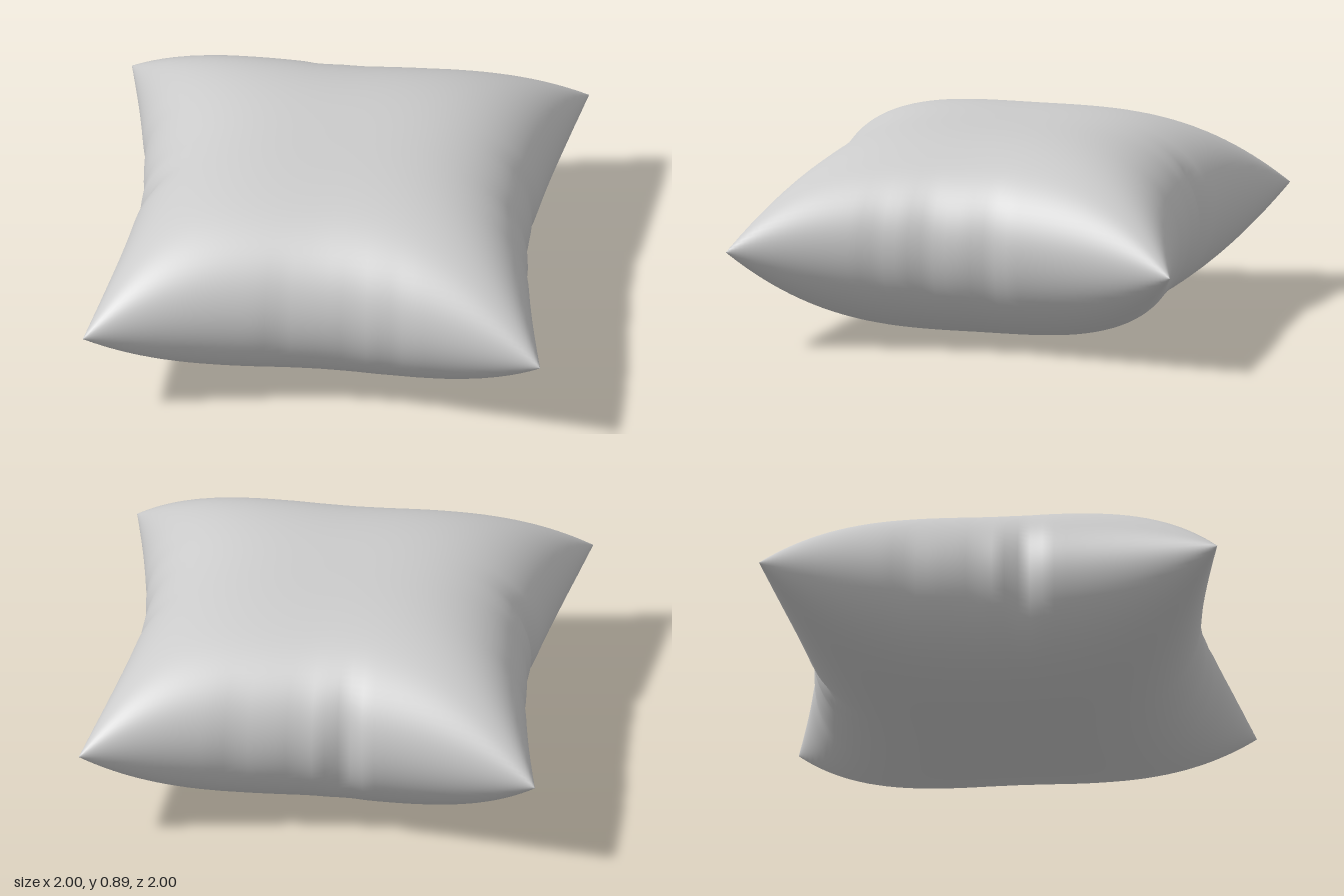
import * as THREE from 'three';
import { mergeGeometries, mergeVertices } from 'three/addons/utils/BufferGeometryUtils.js';

const HALF = 0.445;  // half thickness
const SEGMENTS = 56;

// Pleats along each side: [position, depth, width]
const PLEATS = {
  left: [[-0.14, 0.018, 0.05], [0.14, 0.015, 0.06], [0.36, 0.008, 0.05]],
  right: [[0.14, 0.045, 0.05], [-0.06, 0.008, 0.05], [-0.36, 0.008, 0.06]],
  front: [[-0.16, 0.008, 0.06], [0.16, 0.008, 0.06], [0.34, 0.008, 0.05]],
  back: [[-0.14, 0.045, 0.05], [0.06, 0.01, 0.05], [0.34, 0.008, 0.06]],
};

// How far a side is drawn in at position t along it
function pull(pleats, t) {
  let d = 0;
  for (const [at, depth, width] of pleats) d += depth * Math.exp(-(((t - at) / width) ** 2));
  return d;
}

// Concave side: deepest in the middle, none at the corners
const inset = (t) => 1 - 0.15 * (1 - Math.abs(t) ** 1.6);
const swell = (t) => Math.sqrt(Math.max(0, 1 - Math.abs(t) ** 3.2));

// One face of the cushion; sign is +1 for the top and -1 for the bottom
function cushionFace(sign) {
  const geo = new THREE.PlaneGeometry(2, 2, SEGMENTS, SEGMENTS).rotateX(-sign * Math.PI / 2);
  const p = geo.attributes.position;
  for (let i = 0; i < p.count; i++) {
    // Crowd the grid lines towards the seam, where the surface curves most
    const u = Math.sin(p.getX(i) * Math.PI / 2);
    const v = Math.sin(p.getZ(i) * Math.PI / 2);
    let x = u * inset(v);
    let z = v * inset(u);
    const sideX = pull(u > 0 ? PLEATS.left : PLEATS.right, z);
    const sideZ = pull(v > 0 ? PLEATS.front : PLEATS.back, x);
    x -= Math.sign(u) * sideX * Math.abs(u) ** 8;
    z -= Math.sign(v) * sideZ * Math.abs(v) ** 8;
    const edge = Math.abs(u) > 0.99999 || Math.abs(v) > 0.99999;
    p.setXYZ(i, x, HALF + (edge ? 0 : sign * HALF * swell(u) * swell(v)), z);
  }
  geo.deleteAttribute('uv');
  geo.deleteAttribute('normal');
  return geo;
}

export function createModel() {
  // Weld both faces along the seam for a smooth closed surface
  const geo = mergeVertices(mergeGeometries([cushionFace(1), cushionFace(-1)]), 1e-5);
  geo.computeVertexNormals();
  const cushion = new THREE.Mesh(geo, new THREE.MeshStandardMaterial({ color: 0xcccccc }));
  cushion.name = 'cushion';
  const group = new THREE.Group();
  group.name = 'pillow';
  group.add(cushion);
  return group;
}
